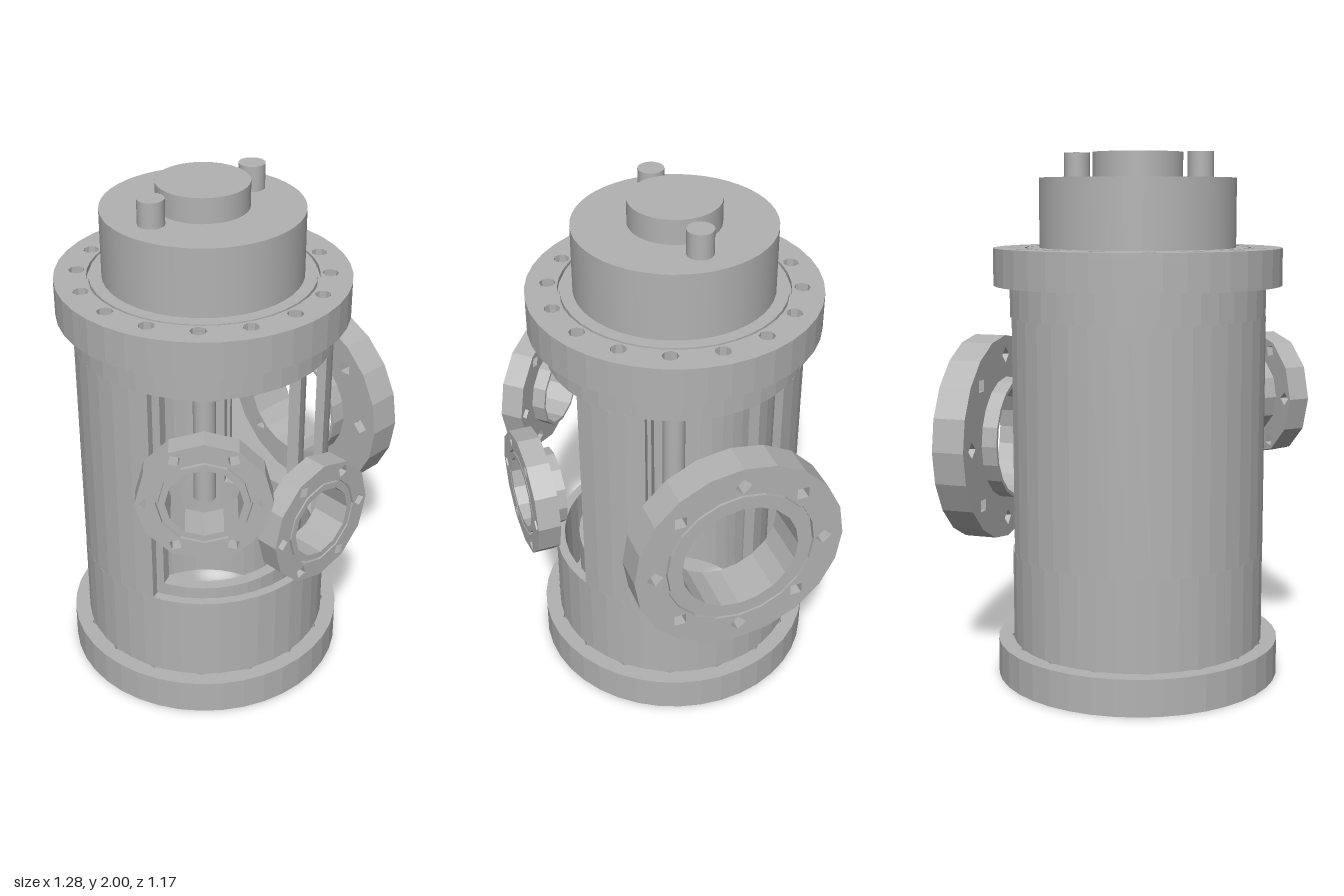
import * as THREE from 'three';

const AXIS = -0.043; // x and z of the main axis
const rad = THREE.MathUtils.degToRad;

function arc(r, a0, a1, n) {
  const pts = [];
  for (let i = 0; i <= n; i++) {
    const a = a0 + (a1 - a0) * i / n;
    pts.push(new THREE.Vector2(r * Math.cos(a), r * Math.sin(a)));
  }
  return pts;
}

const circle = (r, n) => arc(r, 0, Math.PI * 2, n).slice(0, n);

// Flat ring along +z, optionally drilled with a circle of bolt holes
function ring(outer, inner, depth, sides, bolts) {
  const shape = new THREE.Shape(circle(outer, sides));
  shape.holes.push(new THREE.Path(circle(inner, sides)));
  if (bolts) {
    for (let i = 0; i < bolts.count; i++) {
      const a = i / bolts.count * Math.PI * 2;
      const c = new THREE.Vector2(Math.cos(a), Math.sin(a)).multiplyScalar(bolts.at);
      const pts = circle(bolts.r, bolts.sides).map(p => p.rotateAround(new THREE.Vector2(), a).add(c));
      shape.holes.push(new THREE.Path(pts));
    }
  }
  return new THREE.ExtrudeGeometry(shape, { depth, bevelEnabled: false });
}

// Curved wall segment between two angles, along +z
function wall(outer, inner, from, to, depth) {
  const n = Math.ceil((to - from) / 9);
  const shape = new THREE.Shape([
    ...arc(outer, rad(from), rad(to), n),
    ...arc(inner, rad(to), rad(from), n),
  ]);
  return new THREE.ExtrudeGeometry(shape, { depth, bevelEnabled: false });
}

export function createModel() {
  const model = new THREE.Group();
  const metal = new THREE.MeshStandardMaterial({ color: 0xb2b2b2 });
  metal.name = 'grey metal';

  const add = (parent, name, geometry, z = 0) => {
    const mesh = new THREE.Mesh(geometry, metal);
    mesh.name = name;
    mesh.position.z = z;
    parent.add(mesh);
    return mesh;
  };

  // Drilled flange with a thin groove in its outer (+z) face
  function flange(parent, name, o) {
    const g = new THREE.Group();
    g.name = name;
    const lip = 0.02;
    add(g, 'flangePlate', ring(o.outer, o.inner, o.depth - lip, o.sides, o.bolts));
    add(g, 'boltFace', ring(o.outer, o.groove + 0.004, lip, o.sides, o.bolts), o.depth - lip);
    add(g, 'sealFace', ring(o.groove - 0.005, o.inner, lip, o.sides), o.depth - lip);
    parent.add(g);
    return g;
  }

  // Body group: local z runs up the main axis
  const body = new THREE.Group();
  body.name = 'body';
  body.rotation.x = -Math.PI / 2;
  body.position.set(AXIS + 0.003, 0, AXIS);
  model.add(body);

  // End flanges
  const mainFlange = {
    outer: 0.545, inner: 0.352, groove: 0.422, depth: 0.14, sides: 40,
    bolts: { count: 16, at: 0.463, r: 0.03, sides: 8 },
  };
  const bottom = flange(body, 'bottomFlange', mainFlange);
  bottom.rotation.x = Math.PI;
  bottom.position.z = 0.14;
  flange(body, 'topFlange', mainFlange).position.z = 1.507;

  // Outer barrel and inner liner: closed bands joined by a back wall and a front column
  for (const [name, outer, inner] of [['barrel', 0.485, 0.45], ['liner', 0.39, 0.345]]) {
    add(body, name + 'LowerBand', ring(outer, inner, 0.35, 40), 0.14);
    add(body, name + 'UpperBand', ring(outer, inner, 0.12, 40), 1.39);
    add(body, name + 'BackWall', wall(outer, inner, 33, 203, 0.9), 0.49);
    add(body, name + 'FrontColumn', wall(outer, inner, -66.3, -33, 0.9), 0.49);
  }

  // Cap, boss, pins and the stem inside
  const rod = (name, r, y0, y1, x = 0, sides = 32) => {
    const m = new THREE.Mesh(new THREE.CylinderGeometry(r, r, y1 - y0, sides), metal);
    m.name = name;
    m.position.set(AXIS + 0.003 + x, (y0 + y1) / 2, AXIS);
    model.add(m);
  };
  rod('cap', 0.37, 1.6, 1.905, 0, 48);
  rod('boss', 0.17, 1.9, 2);
  for (const s of [-1, 1]) rod('pin', 0.049, 1.9, 2, s * 0.243, 20);
  rod('stemSleeve', 0.125, 1.165, 1.62);
  rod('stem', 0.045, 0.65, 1.18, 0, 20);

  // Side ports: local z points outward from the main axis
  function port(name, angle, y, start, neck, offset, o) {
    const g = new THREE.Group();
    g.name = name;
    g.position.set(AXIS + 0.003, y, AXIS);
    g.rotation.y = rad(angle);
    model.add(g);
    add(g, 'neck', ring(neck, o.inner, offset - start + 0.01, o.sides), start);
    flange(g, 'portFlange', o).position.z = offset;
  }
  const small = {
    outer: 0.243, inner: 0.138, groove: 0.167, depth: 0.087, sides: 12,
    bolts: { count: 6, at: 0.205, r: 0.025, sides: 4 },
  };
  port('frontPort', 0, 0.855, 0.488, 0.15, 0.542, small);
  port('frontRightPort', -43, 1.057, 0.488, 0.15, 0.54, small);
  port('leftPort', 90, 0.892, 0.488, 0.24, 0.549, {
    outer: 0.405, inner: 0.226, groove: 0.286, depth: 0.128, sides: 20,
    bolts: { count: 8, at: 0.328, r: 0.032, sides: 4 },
  });

  return model;
}
